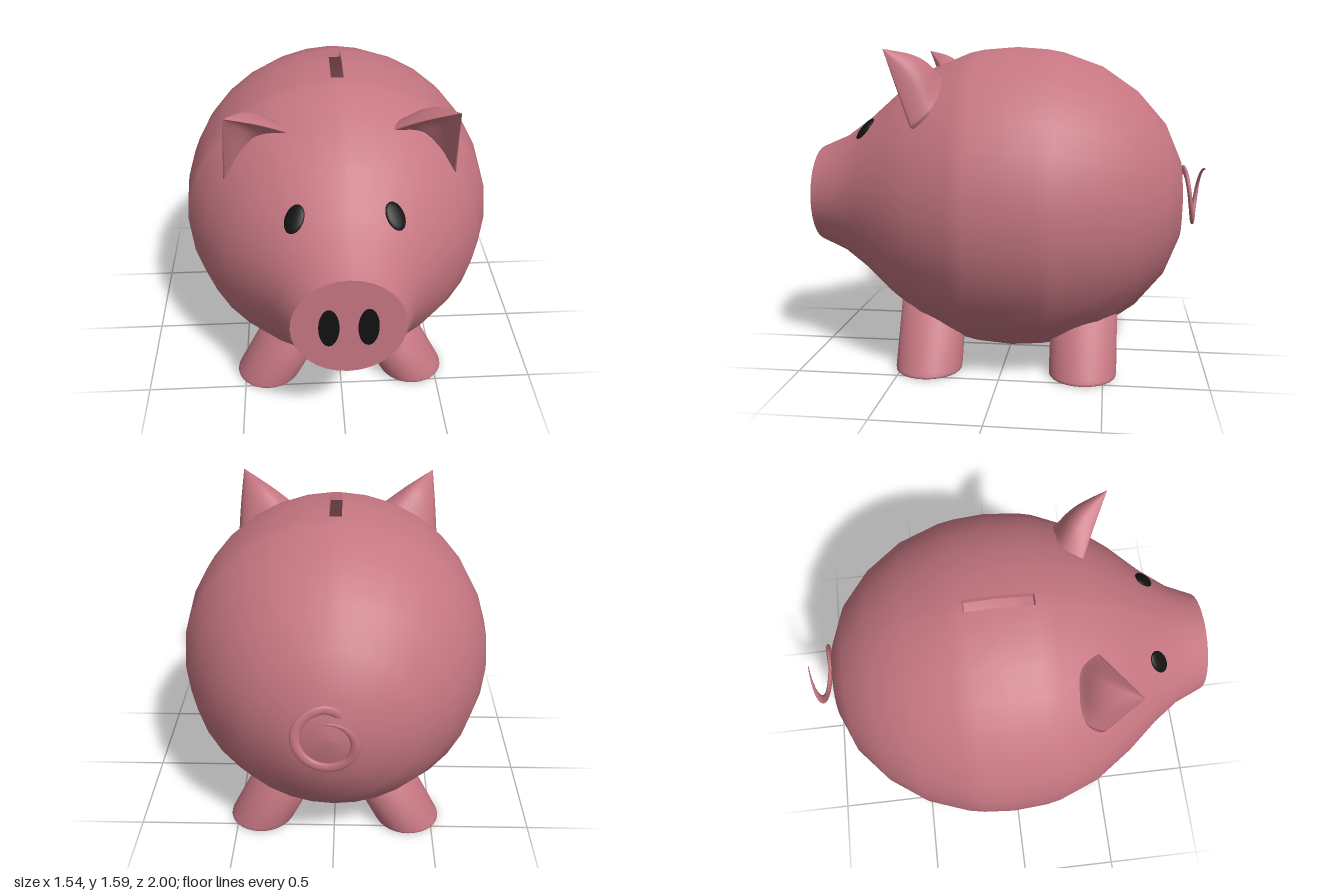
import * as THREE from 'three';

const pink = new THREE.MeshStandardMaterial({ color: 0xc57681 });
const pinkThin = new THREE.MeshStandardMaterial({ color: 0xc57681, side: THREE.DoubleSide });
const black = new THREE.MeshStandardMaterial({ color: 0x111111 });
const V = (x, y, z) => new THREE.Vector3(x, y, z);
const AXIS_Y = 0.82;

function add(parent, name, geometry, material) {
  const mesh = new THREE.Mesh(geometry, material);
  mesh.name = name;
  parent.add(mesh);
  return mesh;
}

// Skin closed rings (counter-clockwise seen from the last ring); skip(i, j) leaves holes.
function loft(rings, { caps = false, skip = () => false } = {}) {
  const n = rings[0].length;
  const points = rings.flat();
  const index = [];
  for (let i = 0; i < rings.length - 1; i++) {
    for (let j = 0; j < n; j++) {
      if (skip(i, j)) continue;
      const a = i * n + j, b = i * n + (j + 1) % n;
      index.push(a, b, a + n, b, b + n, a + n);
    }
  }
  if (caps) {
    [0, rings.length - 1].forEach((r) => {
      const centre = rings[r].reduce((sum, p) => sum.add(p), V(0, 0, 0)).divideScalar(n);
      const c = points.push(centre) - 1;
      for (let j = 0; j < n; j++) {
        const a = r * n + j, b = r * n + (j + 1) % n;
        if (r === 0) index.push(c, b, a);
        else index.push(c, a, b);
      }
    });
  }
  const geometry = new THREE.BufferGeometry().setFromPoints(points);
  geometry.setIndex(index);
  geometry.computeVertexNormals();
  return geometry;
}

// Body outline as [z, radius], from rump to snout
const PROFILE = [
  [-0.89, 0.001], [-0.87, 0.2], [-0.79, 0.385], [-0.65, 0.545], [-0.47, 0.67], [-0.27, 0.742],
  [-0.19, 0.757], [-0.04, 0.768], [0.13, 0.755], [0.2, 0.74], [0.4, 0.66], [0.57, 0.54],
  [0.72, 0.41], [0.86, 0.31], [1, 0.25],
];
const SLOT = { first: 6, last: 8, column: 8, half: 0.039 };

// Column angles, with the top column split in two for the coin slot
const ANGLES = [];
for (let k = 0; k < 32; k++) {
  const a = (k / 32) * Math.PI * 2;
  if (k === SLOT.column) ANGLES.push(a - SLOT.half, a + SLOT.half);
  else ANGLES.push(a);
}

const bodyPoint = (z, r, a) => V(r * Math.cos(a), AXIS_Y + r * Math.sin(a), z);
const inSlot = (i, j) => j === SLOT.column && i >= SLOT.first && i < SLOT.last;

function bodyShell(inset) {
  const rings = PROFILE.map(([z, r]) =>
    ANGLES.map((a) => bodyPoint(z * (1 - inset), Math.max(r - inset, 0.001), a)));
  return loft(rings, { skip: inSlot });
}

function slotWalls(depth) {
  const edge = PROFILE.slice(SLOT.first, SLOT.last + 1);
  const loop = (d) => [
    ...edge.map(([z, r]) => bodyPoint(z * (1 - d), r - d, ANGLES[SLOT.column])),
    ...[...edge].reverse().map(([z, r]) => bodyPoint(z * (1 - d), r - d, ANGLES[SLOT.column + 1])),
  ];
  return loft([loop(0), loop(depth)]).toNonIndexed();
}

// Cupped ear: a crescent footprint shrinking to a forward-leaning tip
function ear(side) {
  const back = [V(0.23, 1.43, 0.39), V(0.3, 1.45, 0.31), V(0.41, 1.4, 0.29), V(0.51, 1.31, 0.32), V(0.53, 1.24, 0.41)];
  const middle = V(0.38, 1.335, 0.4);
  const hollow = back.slice(1, 4).reverse().map((p) => p.clone().lerp(middle, 0.42));
  const base = new THREE.CatmullRomCurve3([...back, ...hollow], true).getPoints(40).slice(0, 40);
  const tip = V(0.505, 1.575, 0.53);
  const rings = [];
  for (let i = 0; i <= 16; i++) {
    const t = -0.15 + 1.148 * Math.sin((i / 16) * Math.PI / 2);
    const s = Math.pow(1 - t, 0.85);
    const bulge = 0.035 * Math.sin(Math.PI * Math.max(t, 0));
    const ring = base.map((p) => {
      const q = tip.clone().lerp(p, s);
      const w = THREE.MathUtils.clamp((0.41 - p.z) / 0.12, 0, 1);
      return V(side * q.x, q.y + bulge * w, q.z - bulge * w * 0.6);
    });
    rings.push(side > 0 ? ring.reverse() : ring);
  }
  return loft(rings, { caps: true });
}

// Sheared round leg with a softened foot edge
function leg(side, z) {
  const outline = [[0, 0], [0.145, 0], [0.157, 0.002], [0.163, 0.007], [0.165, 0.015], [0.165, 0.03], [0.165, 0.38], [0, 0.38]];
  const geometry = new THREE.LatheGeometry(outline.map(([r, y]) => new THREE.Vector2(r, y)), 32);
  geometry.applyMatrix4(new THREE.Matrix4().makeShear(0, 0, -0.5 * side, 0, 0, 0));
  return geometry.translate(side * 0.383, 0, z);
}

// Flat ribbon-like curl that tapers to a point
function tail() {
  const rings = [];
  const steps = 72;
  for (let i = 0; i <= steps; i++) {
    const u = i / steps;
    const phi = THREE.MathUtils.lerp(-Math.PI / 2, Math.PI * 2, u);
    const r = 0.13 - 0.05 * Math.max(0, -phi / (Math.PI / 2));
    const z = -0.882 - 0.11 * (phi / (Math.PI * 2)) + (phi < 0 ? -0.015 * phi / Math.PI : 0);
    const taper = Math.min(1, 0.15 + (1 - u) * 4);
    const ring = [];
    for (let j = 0; j < 12; j++) {
      const a = (j / 12) * Math.PI * 2;
      const d = r + 0.022 * taper * Math.cos(a);
      ring.push(V(0.03 + d * Math.sin(phi), 0.85 + d * Math.cos(phi), z + 0.011 * taper * Math.sin(a)));
    }
    rings.push(ring);
  }
  return loft(rings, { caps: true });
}

export function createModel() {
  const model = new THREE.Group();
  model.name = 'piggyBank';

  // Hollow body with coin slot
  add(model, 'body', bodyShell(0), pink);
  add(model, 'bodyInside', bodyShell(0.03), pinkThin);
  add(model, 'coinSlot', slotWalls(0.03), pinkThin).geometry.computeVertexNormals();

  // Flat snout
  add(model, 'snout', new THREE.CircleGeometry(0.25, 32), pink).position.set(0, AXIS_Y, 1);

  for (const side of [1, -1]) {
    const label = side > 0 ? 'left' : 'right';

    const nostril = add(model, label + 'Nostril', new THREE.CircleGeometry(1, 32), black);
    nostril.scale.set(0.045, 0.1, 1);
    nostril.position.set(side * 0.085, AXIS_Y, 1.002);

    // Oval eye lying flat on the face
    const normal = V(side * 0.51, 0.86, 0.82).normalize();
    const across = V(-side * 0.05, 0.1, -0.08).cross(normal).normalize();
    const along = normal.clone().cross(across);
    const eye = add(model, label + 'Eye', new THREE.SphereGeometry(1, 24, 16), black);
    eye.quaternion.setFromRotationMatrix(new THREE.Matrix4().makeBasis(across, along, normal));
    eye.scale.set(0.045, 0.066, 0.014);
    eye.position.set(side * 0.217, 1.183, 0.71);

    add(model, label + 'Ear', ear(side), pinkThin);
    add(model, label + 'FrontLeg', leg(side, 0.365), pink);
    add(model, label + 'BackLeg', leg(side, -0.4), pink);
  }

  add(model, 'tail', tail(), pink);
  return model;
}
